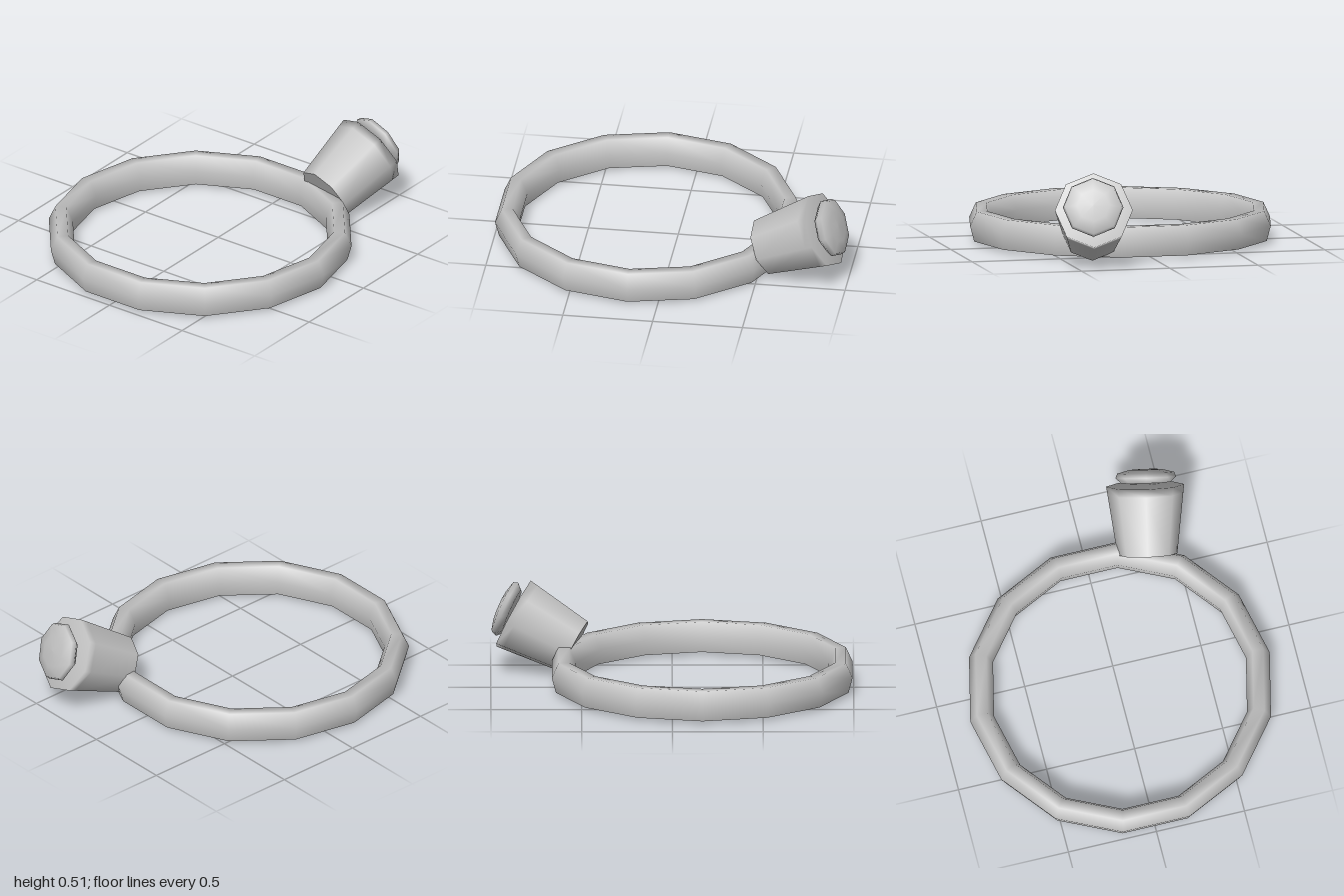
import * as THREE from 'three';

export function createModel() {
  const model = new THREE.Group();
  const silver = new THREE.MeshStandardMaterial({ color: 0xc4c4c4 });
  silver.name = 'silver';

  // Lathed part from [radius, height] pairs, listed bottom to top along the outside
  const lathe = (parent, name, points, sides, start = 0) => {
    const profile = points.map(([r, y]) => new THREE.Vector2(r, y));
    const mesh = new THREE.Mesh(new THREE.LatheGeometry(profile, sides, start), silver);
    mesh.name = name;
    parent.add(mesh);
    return mesh;
  };

  // Fourteen-sided band: rounded walls over a flat underside
  const band = new THREE.Group();
  band.name = 'band';
  band.position.z = 0.165;
  model.add(band);
  const half = Math.PI / 14;
  lathe(band, 'bandWalls', [
    [0.827, 0.02], [0.85, 0.105], [0.813, 0.186],
    [0.752, 0.186], [0.715, 0.105], [0.73, 0.02],
  ], 14, half);
  lathe(band, 'bandUnderside', [[0.73, 0.02], [0.827, 0.02]], 14, half);

  // Tilted eight-sided setting, its local y running outwards from the band
  const setting = new THREE.Group();
  setting.name = 'setting';
  const axis = new THREE.Vector3(0.07, 0.17, -0.335).normalize();
  const side = new THREE.Vector3().crossVectors(axis, new THREE.Vector3(0, 1, 0)).normalize();
  const up = new THREE.Vector3().crossVectors(side, axis);
  setting.quaternion.setFromRotationMatrix(new THREE.Matrix4().makeBasis(side, axis, up));
  setting.position.set(0.33, 0.152, -0.538);
  model.add(setting);
  lathe(setting, 'settingBase', [[0, 0], [0.165, 0]], 8);
  lathe(setting, 'settingCup', [[0.165, 0], [0.209, 0.335]], 8);
  lathe(setting, 'settingRim', [[0.209, 0.335], [0.215, 0.382], [0, 0.382]], 8);

  // Low domed stone seated in the rim
  const stone = lathe(setting, 'stone', [
    [0, -0.035], [0.135, -0.035], [0.167, -0.005], [0.157, 0.02], [0.09, 0.038], [0, 0.042],
  ], 8);
  stone.position.set(0.005, 0.432, 0.002);
  stone.rotation.x = -0.08;

  return model;
}
